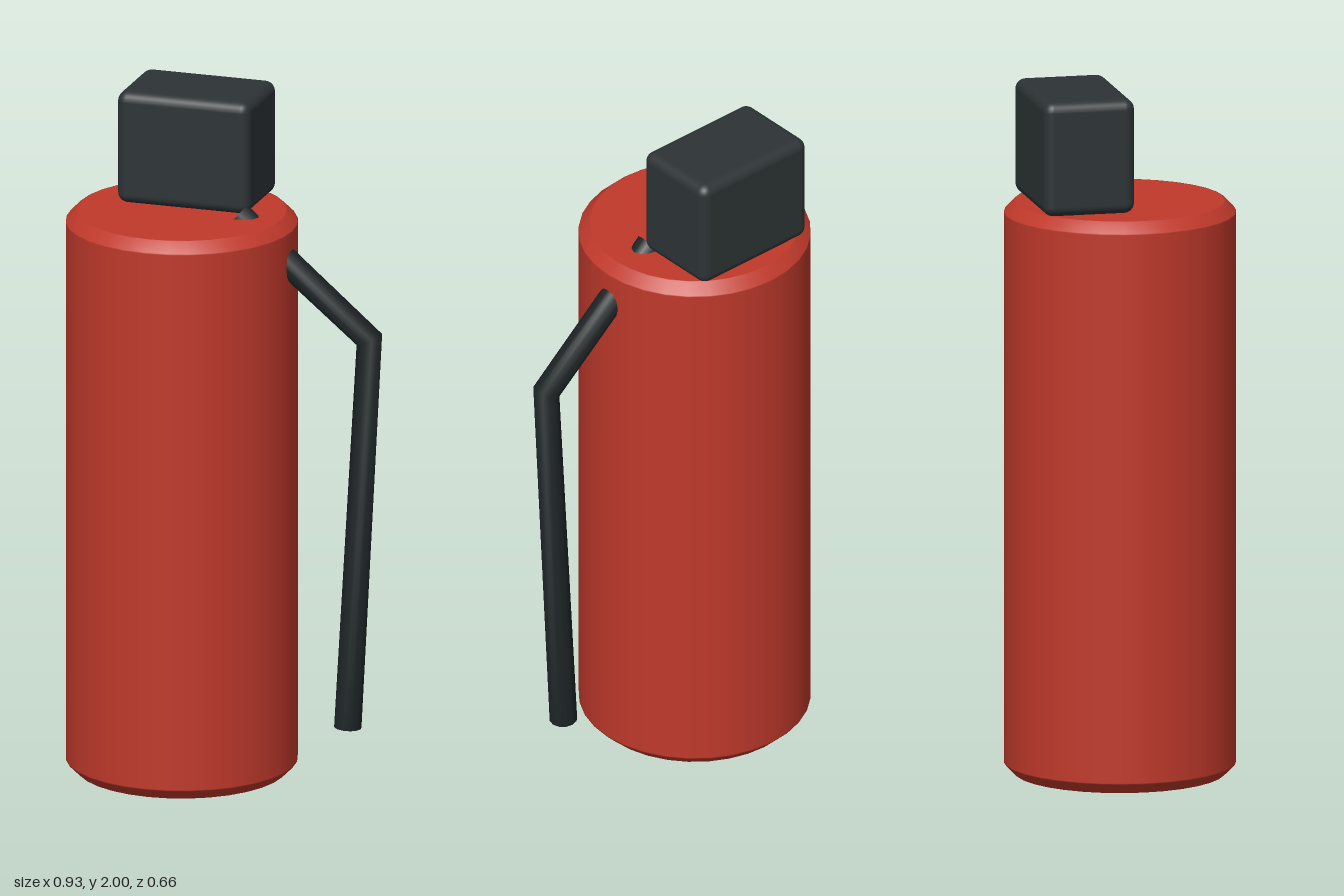
import * as THREE from 'three';
import { RoundedBoxGeometry } from 'three/addons/geometries/RoundedBoxGeometry.js';
import { toCreasedNormals } from 'three/addons/utils/BufferGeometryUtils.js';

const material = (color) => new THREE.MeshStandardMaterial({ color });

function part(name, geometry, color, x = 0, y = 0, z = 0) {
  const mesh = new THREE.Mesh(geometry, material(color));
  mesh.name = name;
  mesh.position.set(x, y, z);
  return mesh;
}

// Round tank profile with chamfered rims; close support loops keep the faces crisp
function tankGeometry(radius, height, bevel) {
  const e = 0.004;
  const lower = [
    [0, 0], [radius - bevel - e, 0], [radius - bevel, 0],
    [radius, bevel], [radius, bevel + e],
  ];
  const upper = lower.map(([r, y]) => [r, height - y]).reverse();
  const points = [...lower, ...upper].map(([r, y]) => new THREE.Vector2(r, y));
  return new THREE.LatheGeometry(points, 32);
}

// Capped cylinder bent through three points in the xy plane
function bentHoseGeometry(path, radius) {
  const [a, b, c] = path;
  const d1 = b.clone().sub(a).normalize();
  const d2 = c.clone().sub(b).normalize();
  const tangents = [d1, d1.clone().add(d2).normalize(), d2];
  const geometry = new THREE.CylinderGeometry(radius, radius, 2, 12, 2);
  const pos = geometry.attributes.position;
  for (let i = 0; i < pos.count; i++) {
    const ring = Math.round(1 - pos.getY(i));
    const t = tangents[ring], side = pos.getX(i);
    pos.setXY(i, path[ring].x - t.y * side, path[ring].y + t.x * side);
  }
  return toCreasedNormals(geometry, 1.1);
}

export function createModel() {
  const group = new THREE.Group();
  group.name = 'extinguisher';

  group.add(part('tank', tankGeometry(0.332, 1.667, 0.03), 0xc0392b, -0.135));

  // Valve block sits on the rear half of the tank top
  group.add(part('valveBlock', new RoundedBoxGeometry(0.4, 0.333, 0.267, 3, 0.03),
    0x2d3436, -0.135, 1.833, -0.133));

  // Hose leaves the tank top, bends outside and hangs down
  const path = [[0.035, 1.667], [0.43, 1.335], [0.365, 0.17]]
    .map(([x, y]) => new THREE.Vector2(x, y));
  group.add(part('hose', bentHoseGeometry(path, 0.04), 0x1e2527));

  return group;
}
